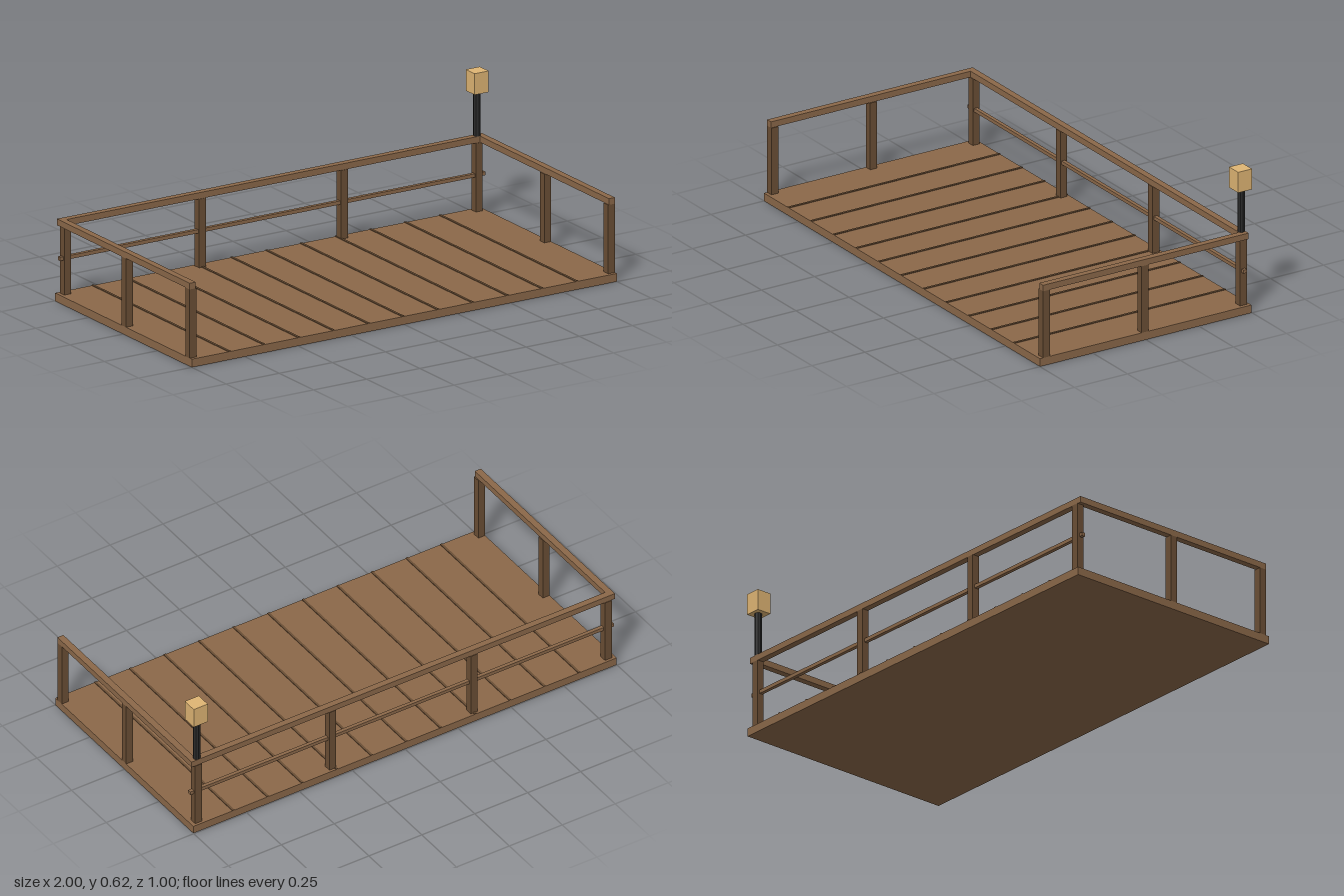
import * as THREE from 'three';

const mat = (color) => new THREE.MeshStandardMaterial({ color });

export function createModel() {
  const model = new THREE.Group();
  model.name = 'railedDeck';
  const wood = mat(0x8b6849);
  const darkWood = mat(0x6b4f35);
  const metal = mat(0x2a2a2a);
  const lamp = mat(0xdfb574);

  // Box given by its extents along each axis
  const box = (name, material, [x0, x1], [y0, y1], [z0, z1]) => {
    const mesh = new THREE.Mesh(new THREE.BoxGeometry(x1 - x0, y1 - y0, z1 - z0), material);
    mesh.position.set((x0 + x1) / 2, (y0 + y1) / 2, (z0 + z1) / 2);
    mesh.name = name;
    model.add(mesh);
    return mesh;
  };

  const deckTop = 0.034, railBottom = 0.32, railTop = 0.346, half = 0.016;
  const backZ = -0.47;
  const postY = [deckTop, railBottom];
  const around = (c, h = half) => [c - h, c + h];

  // Deck with raised seams between the planks
  box('deck', wood, [-1, 1], [0, deckTop], [-0.497, 0.5]);
  for (let i = 0; i < 11; i++) {
    box('plankSeam', darkWood, around(-0.823 + i * 0.1634, 0.005), [deckTop - 0.002, deckTop + 0.003], [-0.497, 0.5]);
  }

  // Back railing
  for (const x of [-0.968, -0.334, 0.334, 0.968]) {
    box('backPost', darkWood, around(x), postY, around(backZ));
  }
  box('backTopRail', wood, [-1, 1], [railBottom, railTop], around(backZ, 0.014));
  box('backMiddleRail', wood, [-1, 1], [0.177, 0.192], around(backZ + 0.002, 0.008));

  // Side railings
  for (const side of [-1, 1]) {
    for (const z of [0.469, 0.004]) {
      box('sidePost', darkWood, around(side * 0.984), postY, around(z));
    }
    box('sideTopRail', wood, around(side * 0.986, 0.014), [railBottom, railTop], [backZ + 0.014, 0.485]);
  }

  // Lamp on the back corner post
  const pole = new THREE.Mesh(
    new THREE.CylinderGeometry(0.015, 0.015, 0.53 - railTop, 8),
    metal.clone()
  );
  pole.material.flatShading = true;
  pole.position.set(0.967, (0.53 + railTop) / 2, backZ);
  pole.name = 'lampPole';
  model.add(pole);
  box('lampBox', lamp, [0.934, 1], [0.53, 0.618], [-0.5, -0.435]);

  return model;
}
